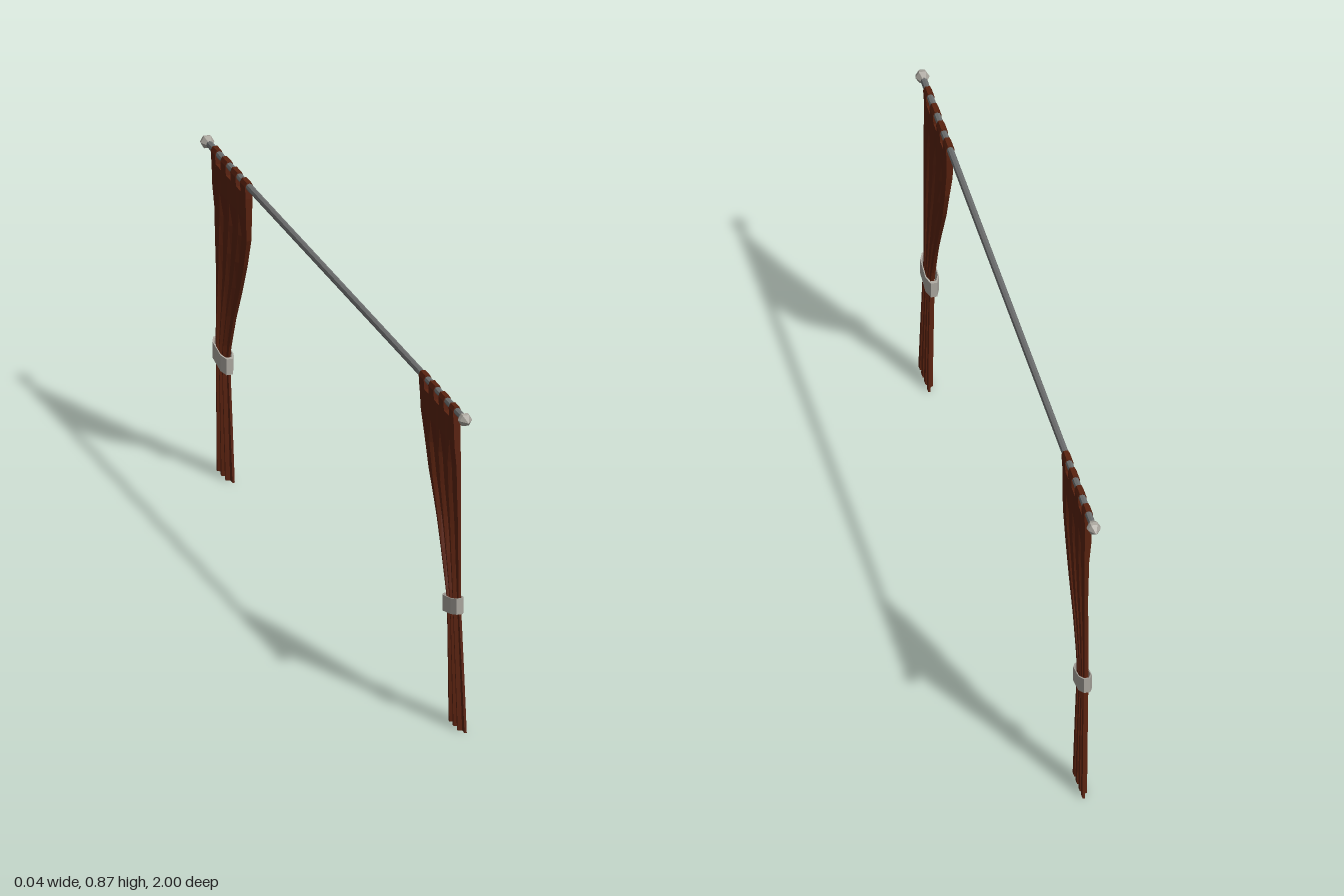
import * as THREE from 'three';

const mat = (name, color, opts = {}) => {
  const m = new THREE.MeshStandardMaterial({ color, flatShading: true, ...opts });
  m.name = name;
  return m;
};

const ROD_Y = 0.85, ROD_X = -0.003;

// Returns a copy on the +z (s = 1) or -z (s = -1) side, with winding kept outward
function onSide(geometry, s) {
  const g = geometry.index ? geometry.toNonIndexed() : geometry.clone();
  if (s < 0) {
    const p = g.attributes.position;
    const a = new THREE.Vector3(), b = new THREE.Vector3();
    g.scale(1, 1, -1);
    for (let i = 0; i < p.count; i += 3) {
      a.fromBufferAttribute(p, i + 1);
      b.fromBufferAttribute(p, i + 2);
      p.setXYZ(i + 1, b.x, b.y, b.z);
      p.setXYZ(i + 2, a.x, a.y, a.z);
    }
  }
  g.computeVertexNormals();
  return g;
}

// Pleated cloth: closed cross-sections stacked from hem to heading
function clothGeometry() {
  // y, outer z, inner z, centre x, thickness, pleat depth
  const rows = [
    [0.00, 0.930, 0.817, 0.008, 0.006, 0.0050],
    [0.15, 0.920, 0.824, 0.005, 0.006, 0.0050],
    [0.32, 0.910, 0.830, 0.001, 0.006, 0.0045],
    [0.36, 0.911, 0.818, 0.000, 0.006, 0.0045],
    [0.45, 0.912, 0.780, -0.001, 0.007, 0.0045],
    [0.54, 0.912, 0.734, -0.001, 0.008, 0.0045],
    [0.62, 0.912, 0.696, -0.002, 0.010, 0.0042],
    [0.70, 0.912, 0.668, -0.002, 0.012, 0.0036],
    [0.76, 0.912, 0.659, -0.003, 0.016, 0.0010],
    [0.825, 0.912, 0.654, -0.003, 0.018, 0],
  ];
  // Flat-topped folds: two ridge points, then two valley points
  const us = [], folds = [];
  const pleats = 4;
  for (let i = 0; i < pleats; i++) {
    [[0, 1], [0.55, 1], [0.68, -1], [0.87, -1]].forEach(([f, w]) => {
      us.push((i + f) / (pleats - 0.45));
      folds.push(w);
    });
  }
  us.length = folds.length = pleats * 4 - 2; // finish on a ridge
  const n = us.length, loop = 2 * n;
  const pos = [], idx = [];
  for (const [y, zo, zi, cx, t, d] of rows) {
    for (let k = 0; k < loop; k++) {
      const front = k < n, j = front ? k : loop - 1 - k;
      const x = cx + folds[j] * d + (front ? t / 2 : -t / 2);
      pos.push(x, y, zo + (zi - zo) * us[j]);
    }
  }
  for (let r = 0; r < rows.length - 1; r++) {
    for (let k = 0; k < loop; k++) {
      const a = r * loop + k, b = r * loop + (k + 1) % loop;
      idx.push(a, b, b + loop, a, b + loop, a + loop);
    }
  }
  const top = (rows.length - 1) * loop;
  for (let j = 0; j < n - 1; j++) {
    const p = j, q = j + 1, pb = loop - 1 - j, qb = loop - 2 - j;
    idx.push(p, qb, q, p, pb, qb);
    idx.push(top + p, top + q, top + qb, top + p, top + qb, top + pb);
  }
  const g = new THREE.BufferGeometry();
  g.setAttribute('position', new THREE.Float32BufferAttribute(pos, 3));
  g.setIndex(idx);
  return g;
}

// Strap that arches over the rod
function tabGeometry(z0, z1) {
  const s = new THREE.Shape(
    [[-0.009, 0.818], [0.009, 0.818], [0.011, 0.85], [0.006, 0.861], [-0.006, 0.861], [-0.011, 0.85]]
      .map(([x, y]) => new THREE.Vector2(x + ROD_X, y)));
  return new THREE.ExtrudeGeometry(s, { depth: z1 - z0, bevelEnabled: false }).translate(0, 0, z0);
}

// Tilted band round the gathered cloth, higher at the outer end
function tieGeometry() {
  const ring = (k) => [
    [0.051, -0.008], [0.051, 0.008], [0.030, 0.017], [-0.030, 0.017],
    [-0.051, 0.008], [-0.051, -0.008], [-0.030, -0.017], [0.030, -0.017],
  ].map(([a, b]) => new THREE.Vector2(a * k, b * k));
  const shape = new THREE.Shape(ring(1));
  shape.holes.push(new THREE.Path(ring(0.85)));
  const g = new THREE.ExtrudeGeometry(shape, { depth: 0.042, bevelEnabled: false });
  const p = g.attributes.position;
  for (let i = 0; i < p.count; i++) {
    const a = p.getX(i), b = p.getY(i), d = p.getZ(i);
    p.setXYZ(i, b + 0.002, 0.300 + d + a * 0.22, a + 0.866);
  }
  return g;
}

export function createModel() {
  const cloth = mat('curtain cloth', 0x5a220f, { side: THREE.DoubleSide });
  const metal = mat('rod metal', 0x6c6e6e);
  const pale = mat('pale trim', 0xaaa69e);

  const model = new THREE.Group();
  model.name = 'curtains';
  const add = (name, geometry, material, parent = model) => {
    const m = new THREE.Mesh(geometry, material);
    m.name = name;
    parent.add(m);
  };

  // Rod
  add('rod', new THREE.CylinderGeometry(0.009, 0.009, 1.93, 8)
    .rotateX(Math.PI / 2).translate(ROD_X, ROD_Y, 0), metal);

  // Faceted rod end
  const finial = new THREE.LatheGeometry(
    [[0, 0.95], [0.009, 0.95], [0.018, 0.968], [0.016, 0.978], [0, 1]]
      .map(([r, y]) => new THREE.Vector2(r, y)), 6)
    .rotateY(Math.PI / 2).rotateX(Math.PI / 2).translate(ROD_X, ROD_Y, 0);

  const tabs = [[0.880, 0.912], [0.802, 0.840], [0.726, 0.765], [0.654, 0.692]];

  for (const s of [1, -1]) {
    const side = new THREE.Group();
    side.name = s > 0 ? 'nearCurtain' : 'farCurtain';
    model.add(side);
    add('finial', onSide(finial, s), pale, side);
    add('pleatedCloth', onSide(clothGeometry(), s), cloth, side);
    tabs.forEach(([a, b], i) => add(`tab${i + 1}`, onSide(tabGeometry(a, b), s), cloth, side));
    add('tieBack', onSide(tieGeometry(), s), pale, side);
  }
  return model;
}
